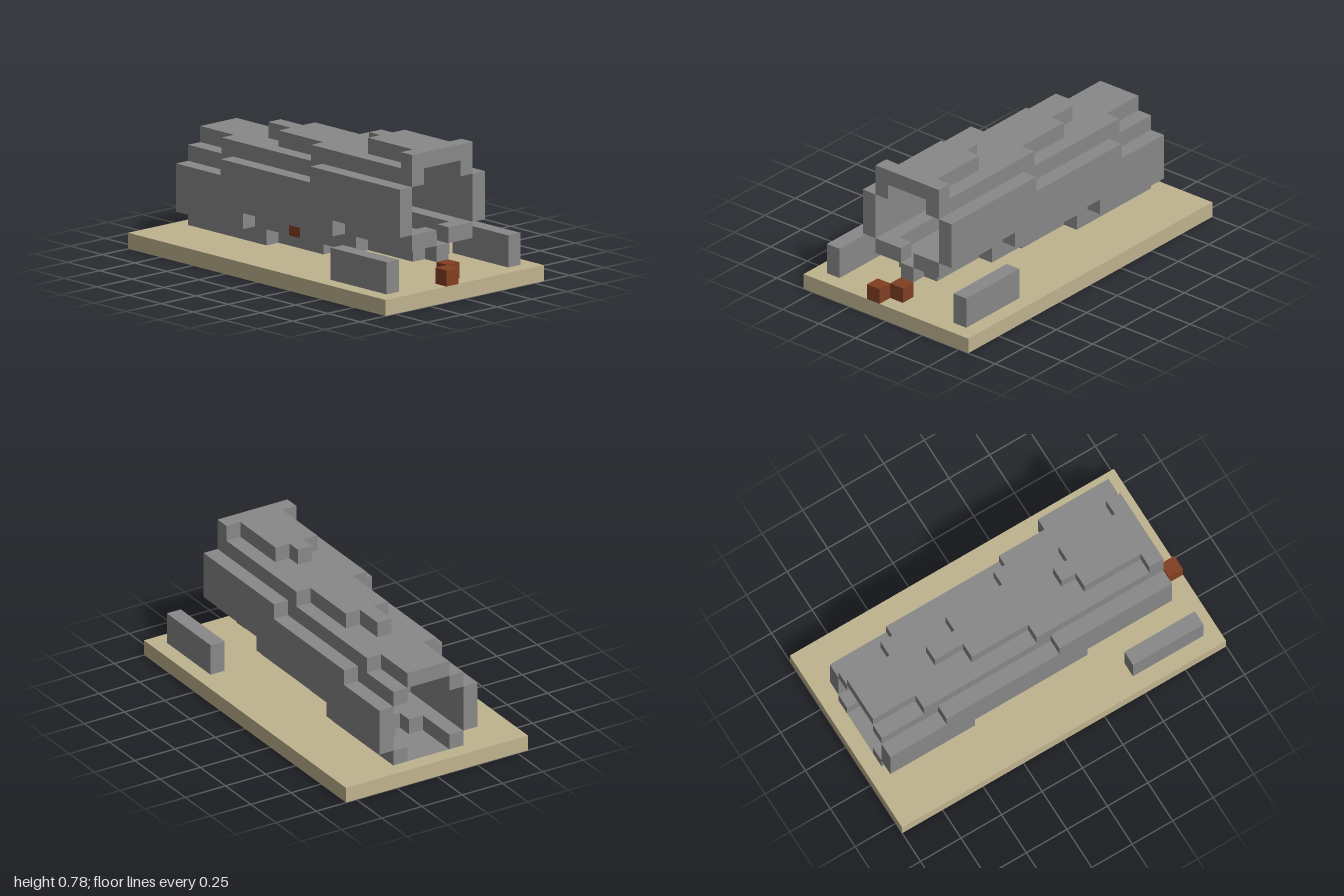
import * as THREE from 'three';
import { mergeGeometries } from 'three/addons/utils/BufferGeometryUtils.js';

// The model is made of cubes: 23 long (x), 9 high (y), 13 deep (z)
const U = 2 / 23;
const NX = 23, NZ = 13, MID = 6;
const FIRST = 1, LAST = 20; // hull length in cells

// Tilted hull: height steps up by one cell each time x passes a listed index
const steps = (start, at) => (x) => start + at.filter((s) => x >= s).length;
// Profiles by distance from the centre line (0 = middle, 3 = side wall)
const top = [steps(6, [6, 15]), steps(6, [8, 16]), steps(5, [4, 12, 20]), steps(4, [5, 13])];
const bottom = [steps(0, [5, 13]), steps(0, [4, 12, 20]), steps(1, [8, 16]), steps(2, [7, 15])];

const DIRS = [[1, 0, 0], [-1, 0, 0], [0, 1, 0], [0, -1, 0], [0, 0, 1], [0, 0, -1]];

// Merge the exposed faces of a list of cells
function cubesGeometry(cells, filled) {
  const z = new THREE.Vector3(0, 0, 1);
  const faces = [];
  for (const [x, y, k] of cells) {
    for (const [dx, dy, dz] of DIRS) {
      if (filled.has(`${x + dx},${y + dy},${k + dz}`)) continue;
      const turn = new THREE.Quaternion().setFromUnitVectors(z, new THREE.Vector3(dx, dy, dz));
      const face = new THREE.PlaneGeometry(U, U).applyQuaternion(turn);
      face.translate(
        (x + 0.5 + dx / 2) * U - 1,
        (y + 0.5 + dy / 2) * U,
        (k + 0.5 + dz / 2 - NZ / 2) * U
      );
      faces.push(face);
    }
  }
  return mergeGeometries(faces);
}

export function createModel() {
  const hullGray = new THREE.MeshStandardMaterial({ color: 0x888888 });
  hullGray.name = 'hullGray';
  const sand = new THREE.MeshStandardMaterial({ color: 0xc0b48f });
  sand.name = 'sand';
  const rust = new THREE.MeshStandardMaterial({ color: 0x823f22 });
  rust.name = 'rust';

  const filled = new Set();
  const parts = {};
  // Earlier cells win, so patches are placed before the hull, and the hull before the ground
  function put(name, material, x, y, k) {
    const key = `${x},${y},${k}`;
    if (filled.has(key)) return;
    filled.add(key);
    parts[name] ??= { material, cells: [] };
    parts[name].cells.push([x, y, k]);
  }

  // Rusty patch in the hull and two loose blocks at the open end
  put('rustPatch', rust, 10, 2, 8);
  put('looseBlocks', rust, 21, 1, 6);
  put('looseBlocks', rust, 22, 1, 7);

  // Hollow hull, mirrored about the centre line
  for (let x = FIRST; x <= LAST; x++) {
    for (const side of [-1, 1]) {
      // side walls
      const low = bottom[3](x), high = top[3](x);
      for (let y = low; y <= high; y++) put('sideWalls', hullGray, x, y, MID + side * 3);
      // shoulders and bilges joining the walls to roof and floor
      for (let y = high + 1; y <= top[2](x); y++) put('shoulders', hullGray, x, y, MID + side * 2);
      for (let y = bottom[2](x); y < low; y++) put('bilges', hullGray, x, y, MID + side * 2);
      // roof and floor
      for (const d of [0, 1]) {
        put('roof', hullGray, x, top[d](x), MID + side * d);
        put('floor', hullGray, x, bottom[d](x), MID + side * d);
      }
    }
  }

  // Detached panels standing on either side
  for (const side of [-1, 1])
    for (let x = 17; x < 22; x++)
      for (const y of [1, 2]) put(side > 0 ? 'frontPanel' : 'backPanel', hullGray, x, y, MID + side * 5);

  // Ground slab, with the sunken hull floor left out
  for (let x = 0; x < NX; x++)
    for (let k = 0; k < NZ; k++) put('ground', sand, x, 0, k);

  const group = new THREE.Group();
  group.name = 'sunkenHull';
  for (const [name, { material, cells }] of Object.entries(parts)) {
    const mesh = new THREE.Mesh(cubesGeometry(cells, filled), material);
    mesh.name = name;
    group.add(mesh);
  }
  return group;
}
